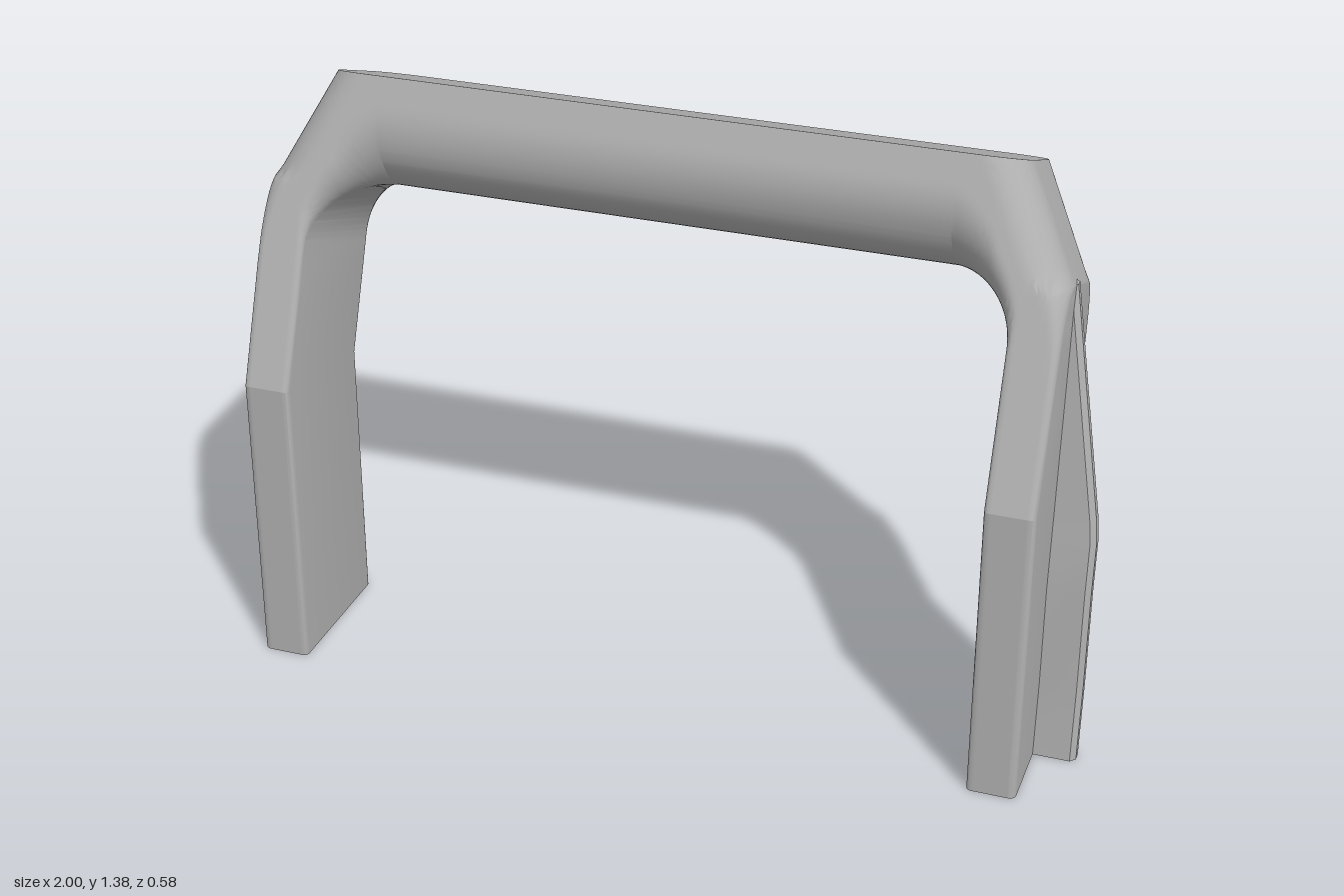
import * as THREE from 'three';
import { toCreasedNormals } from 'three/addons/utils/BufferGeometryUtils.js';

const HALF = 0.174;             // half depth of the arch
const TOP = 0.693;              // height of the flat top along the tilted axis
const SHOULDER = 0.449;         // height where the chamfer meets the leg
const N = 26;                   // samples across each section
const lerp = THREE.MathUtils.lerp;

// Skin a list of rings; both ends are closed by pairing point i with n-1-i.
function loft(rings) {
  const n = rings[0].length, pos = [], idx = [];
  rings.forEach(r => r.forEach(p => pos.push(...p)));
  for (let k = 0; k < rings.length - 1; k++) {
    for (let i = 0; i < n; i++) {
      const a = k * n + i, a2 = k * n + (i + 1) % n, b = a + n, b2 = a2 + n;
      idx.push(a, b, a2, a2, b, b2);
    }
  }
  const e = (rings.length - 1) * n;
  for (let i = 0; i < n / 2 - 1; i++) {
    const j = n - 1 - i;
    idx.push(i, i + 1, j, i + 1, j - 1, j);
    idx.push(e + i, e + j, e + i + 1, e + i + 1, e + j, e + j - 1);
  }
  const g = new THREE.BufferGeometry();
  g.setAttribute('position', new THREE.Float32BufferAttribute(pos, 3));
  g.setIndex(idx);
  return toCreasedNormals(g, 0.3);
}

// Leg coordinates to model space: upright below the bend, leaning back above it.
function place(x, u, v) {
  if (u < 0) return [x, 0.67 + u, 0.12 - v];
  if (u === 0) return [x, 0.67 - 0.171 * v, 0.12 - v * 1.005];
  return [x, 0.67 + 0.934 * u - 0.357 * v, 0.12 - 0.357 * u - 0.934 * v];
}

// Half depth allowed by the rounded outer end at a point of the arch outline.
function outerDepth(x, u) {
  const xOut = u > SHOULDER ? lerp(0.905, 0.785, (u - SHOULDER) / (TOP - SHOULDER)) : 0.905;
  const k = THREE.MathUtils.clamp((u - 0.25) / (SHOULDER - 0.25), 0, 1);
  const R = 0.015 + 0.08 * (1 - Math.sqrt(1 - k * k));
  const e = Math.min(x - (xOut - R), R);
  return e > 0 ? HALF - R + Math.sqrt(Math.max(R * R - e * e, 0)) : HALF;
}

// One ring from the outer outline point to the inner one, rounded by r inside.
function archRing({ o, i, r }) {
  const len = Math.hypot(o[0] - i[0], o[1] - i[1]);
  const front = [], back = [];
  for (let j = 0; j <= N; j++) {
    const s = (1 - Math.cos(Math.PI * j / N)) / 2;
    const x = lerp(o[0], i[0], s), u = lerp(o[1], i[1], s);
    const q = Math.max(r - (1 - s) * len, 0);
    const inner = HALF - r + Math.sqrt(Math.max(r * r - q * q, 0));
    const h = Math.min(inner, outerDepth(x, u));
    front.push(place(x, u, -h));
    back.unshift(place(x, u, h));
  }
  return front.concat(back);
}

function archGeometry() {
  const sections = [];
  // straight leg up to the start of the corner
  for (const u of [-0.67, 0, 0.15, 0.25]) {
    sections.push({ o: [0.905, u], i: [0.795, u], r: 0.012 });
  }
  // corner: the inner outline is an arc, the outer one leg, chamfer and flat top
  const corner = (deg, o) => {
    const a = THREE.MathUtils.degToRad(deg);
    sections.push({
      o, i: [0.645 + 0.15 * Math.sin(a), 0.301 + 0.15 * Math.cos(a)],
      r: 0.012 + 0.162 * Math.pow(1 - deg / 90, 1.5),
    });
  };
  for (let k = 0; k <= 10; k++) {
    const t = Math.sin(k / 10 * Math.PI / 2);
    corner(lerp(90, 68, k / 10), [0.905, lerp(0.301, SHOULDER, t)]);
  }
  for (let k = 1; k <= 10; k++) {
    const t = k / 10;
    corner(lerp(68, 35, t), [lerp(0.905, 0.785, t), lerp(SHOULDER, TOP, t)]);
  }
  for (let k = 1; k <= 14; k++) {
    const t = 1 - Math.cos(k / 14 * Math.PI / 2);
    corner(lerp(35, 0, k / 14), [lerp(0.785, 0.645, t), TOP]);
  }
  const rings = sections.map(archRing);
  // mirrored half: flip x and run back down to the other foot
  const mirrored = rings.map(r => r.map(([x, y, z]) => [-x, y, z])).reverse();
  return loft(rings.concat(mirrored));
}

// Rib along the outside of a leg: [y, front z, back z, outer x]
function ribGeometry(side) {
  const rows = [
    [0, 0.115, 0.07, 1], [0.18, 0.1, 0.056, 1], [0.42, 0.1, 0.055, 1],
    [0.54, 0.088, 0.044, 1], [0.6, 0.082, 0.038, 0.994], [1.115, 0.032, -0.008, 0.908],
  ];
  const rings = rows.map(([y, f, b, x]) => [
    [x, f - 0.012], [x - 0.012, f], [0.88, f], [0.88, b], [x - 0.012, b], [x, b + 0.012],
  ].map(([px, pz]) => [side * px, y, pz]));
  return loft(side > 0 ? rings : rings.reverse());
}

export function createModel() {
  const group = new THREE.Group();
  group.name = 'archHandle';
  const grey = new THREE.MeshStandardMaterial({ color: 0xb0b0b0 });
  grey.name = 'plain grey';

  const add = (name, geometry) => {
    const mesh = new THREE.Mesh(geometry, grey);
    mesh.name = name;
    group.add(mesh);
  };
  add('arch', archGeometry());
  add('leftRib', ribGeometry(1));
  add('rightRib', ribGeometry(-1));
  return group;
}
